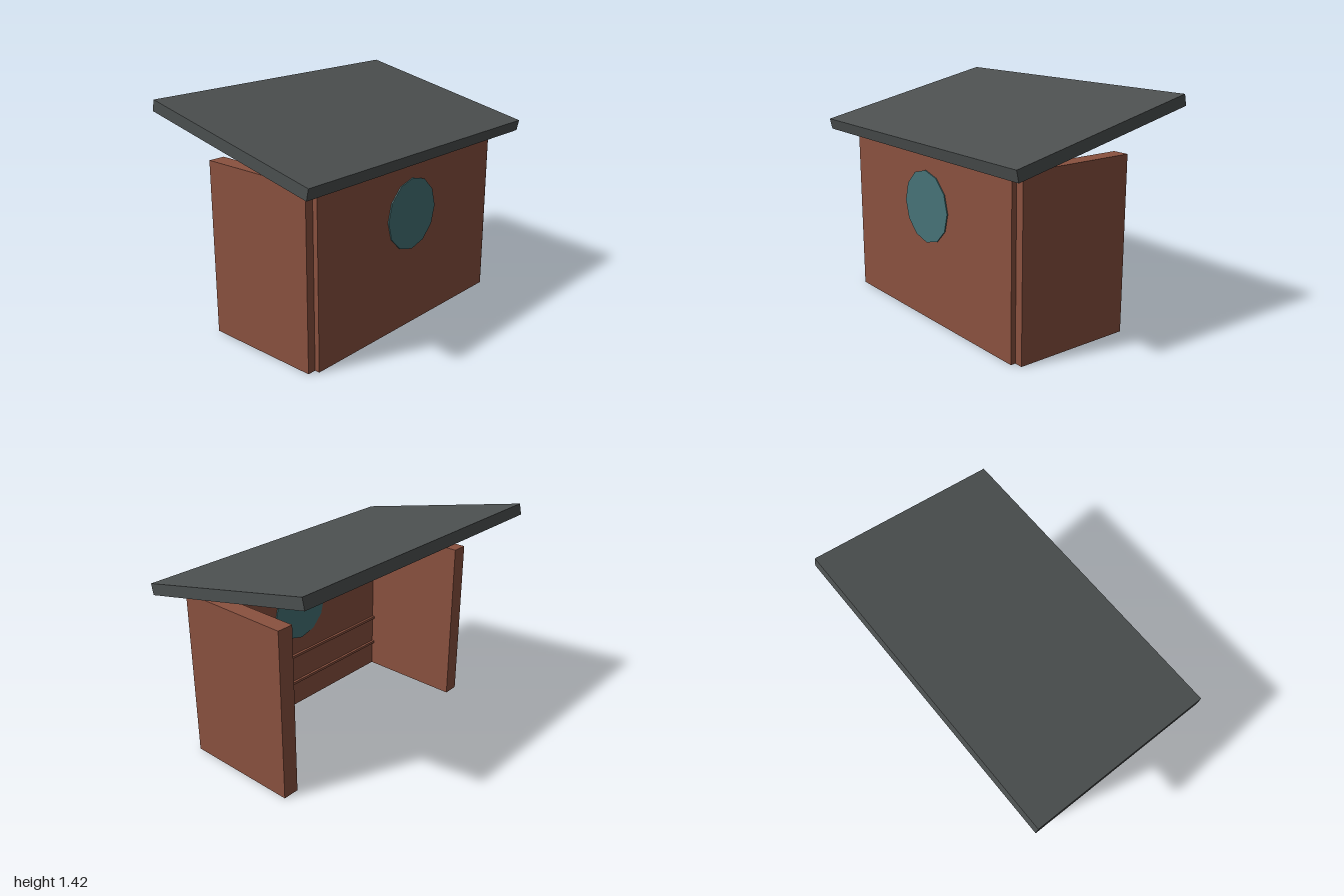
import * as THREE from 'three';

export function createModel() {
  const brick = new THREE.MeshStandardMaterial({ name: 'brick red', color: 0x8a513f });
  const slate = new THREE.MeshStandardMaterial({ name: 'slate grey', color: 0x4c5050 });
  const teal = new THREE.MeshStandardMaterial({ name: 'teal', color: 0x467377 });

  const model = new THREE.Group();
  model.name = 'shelter';

  // Box given by its extents on each axis
  function box(name, material, [x0, x1], [y0, y1], [z0, z1]) {
    const mesh = new THREE.Mesh(new THREE.BoxGeometry(x1 - x0, y1 - y0, z1 - z0), material);
    mesh.position.set((x0 + x1) / 2, (y0 + y1) / 2, (z0 + z1) / 2);
    mesh.name = name;
    model.add(mesh);
    return mesh;
  }

  const height = 1.093;

  // Long wall, standing slightly proud of the side wall ends
  box('longWall', brick, [0.405, 0.507], [0, height], [-0.817, 0.817]);

  // Side walls, leaving a small notch at each outer corner
  box('frontSideWall', brick, [-0.298, 0.475], [0, height], [0.765, 0.87]);
  box('backSideWall', brick, [-0.298, 0.475], [0, height], [-0.87, -0.765]);

  // Thin rails along the inside of the long wall
  for (const y of [0.18, 0.385]) {
    box('innerRail', brick, [0.388, 0.41], [y - 0.009, y + 0.009], [-0.77, 0.77]);
  }

  // Twelve-sided disc showing on both faces of the long wall
  const disc = new THREE.Mesh(
    new THREE.CylinderGeometry(0.226, 0.226, 0.116, 12).toNonIndexed(), teal);
  disc.geometry.computeVertexNormals();
  disc.rotation.z = Math.PI / 2;
  disc.position.set(0.456, 0.728, 0);
  disc.name = 'roundWindow';
  model.add(disc);

  // Single-pitch roof slab
  const roof = new THREE.Mesh(new THREE.BoxGeometry(1.27, 0.071, 2), slate);
  roof.position.set(-0.001, 1.252, 0);
  roof.rotation.z = -0.218;
  roof.name = 'roof';
  model.add(roof);

  return model;
}
